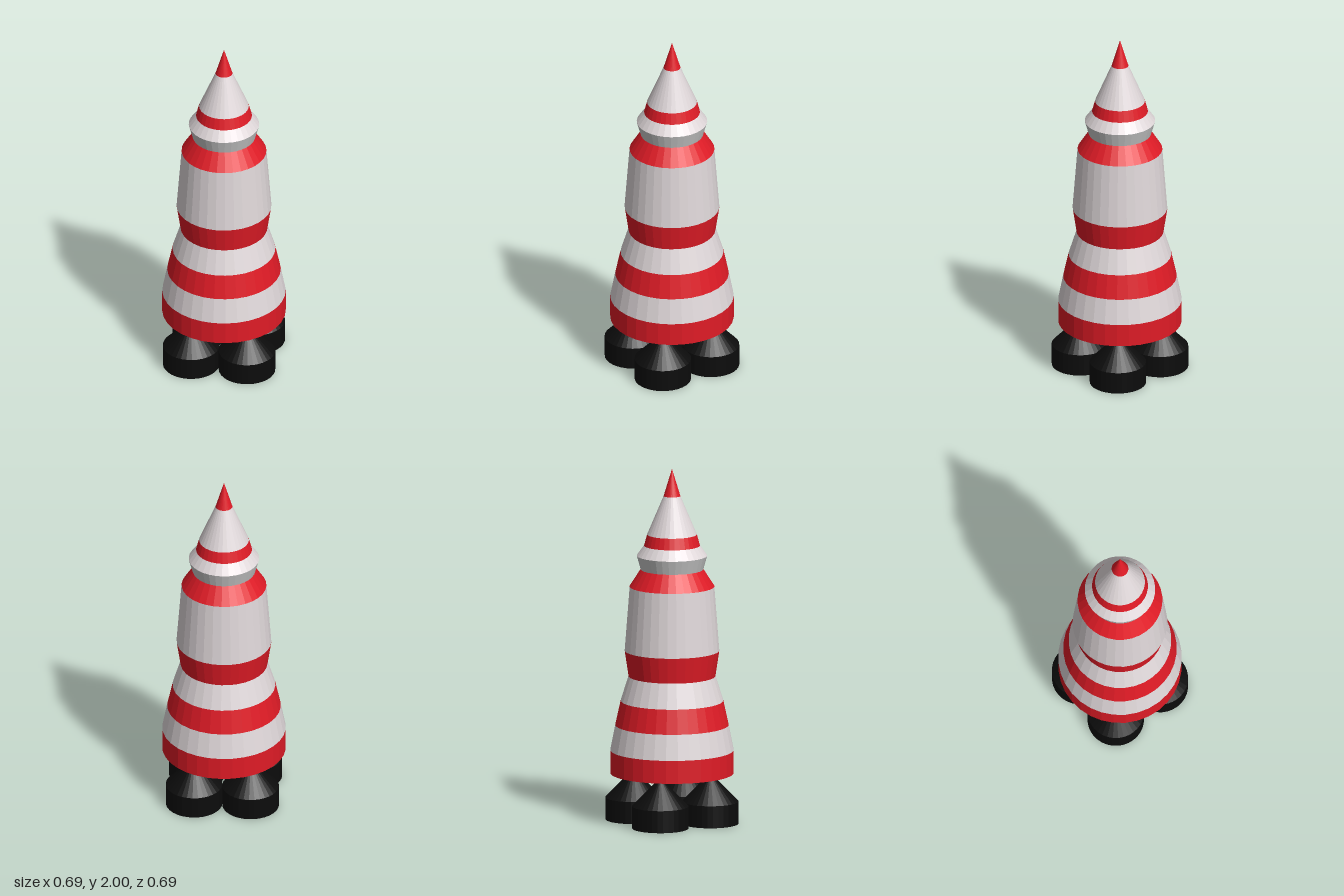
import * as THREE from 'three';

const SIDES = 32;
const material = (color, side = THREE.FrontSide) =>
  new THREE.MeshStandardMaterial({ color, flatShading: true, side });

export function createModel() {
  const rocket = new THREE.Group();
  rocket.name = 'rocket';
  const red = material(0xe01b26);
  const white = material(0xe0d8da);
  const grey = material(0xcccccc);
  const black = material(0x0c0c0c, THREE.DoubleSide);

  const add = (name, geometry, mat, x = 0, y = 0, z = 0) => {
    const mesh = new THREE.Mesh(geometry, mat);
    mesh.name = name;
    mesh.position.set(x, y, z);
    rocket.add(mesh);
  };

  // Hull rings from the skirt up: name, material, lower [radius, y], upper [radius, y]
  const bands = [
    ['skirtBand', red, [0.345, 0.275], [0.345, 0.405]],
    ['lowerHull', white, [0.345, 0.405], [0.317, 0.548]],
    ['lowerStripe', red, [0.317, 0.548], [0.287, 0.685]],
    ['waistHull', white, [0.287, 0.685], [0.243, 0.825]],
    ['waistStripe', red, [0.243, 0.825], [0.265, 0.97]],
    ['mainHull', white, [0.265, 0.97], [0.237, 1.333]],
    ['shoulder', red, [0.237, 1.333], [0.175, 1.43]],
    ['collarUnderside', grey, [0.175, 1.43], [0.197, 1.508]],
    ['collarTop', white, [0.197, 1.508], [0.156, 1.565]],
    ['noseStripe', red, [0.156, 1.565], [0.139, 1.628]],
    ['noseCone', white, [0.139, 1.628], [0.047, 1.845]],
    ['noseTip', red, [0.047, 1.845], [0, 2]],
  ];
  for (const [name, mat, [r0, y0], [r1, y1]] of bands) {
    add(name, new THREE.CylinderGeometry(r1, r0, y1 - y0, SIDES, 1, true), mat, 0, (y0 + y1) / 2, 0);
  }

  // Closing plate under the hull
  add('basePlate', new THREE.CircleGeometry(0.345, SIDES).rotateX(Math.PI / 2), black, 0, 0.275, 0);

  // Four hollow engine bells
  const bell = new THREE.LatheGeometry(
    [[0.158, 0], [0.158, 0.125], [0.025, 0.262], [0.025, 0.275]].map(([r, y]) => new THREE.Vector2(r, y)),
    SIDES
  );
  for (const x of [-1, 1]) {
    for (const z of [-1, 1]) add('engineBell', bell, black, x * 0.158, 0, z * 0.158);
  }

  return rocket;
}
